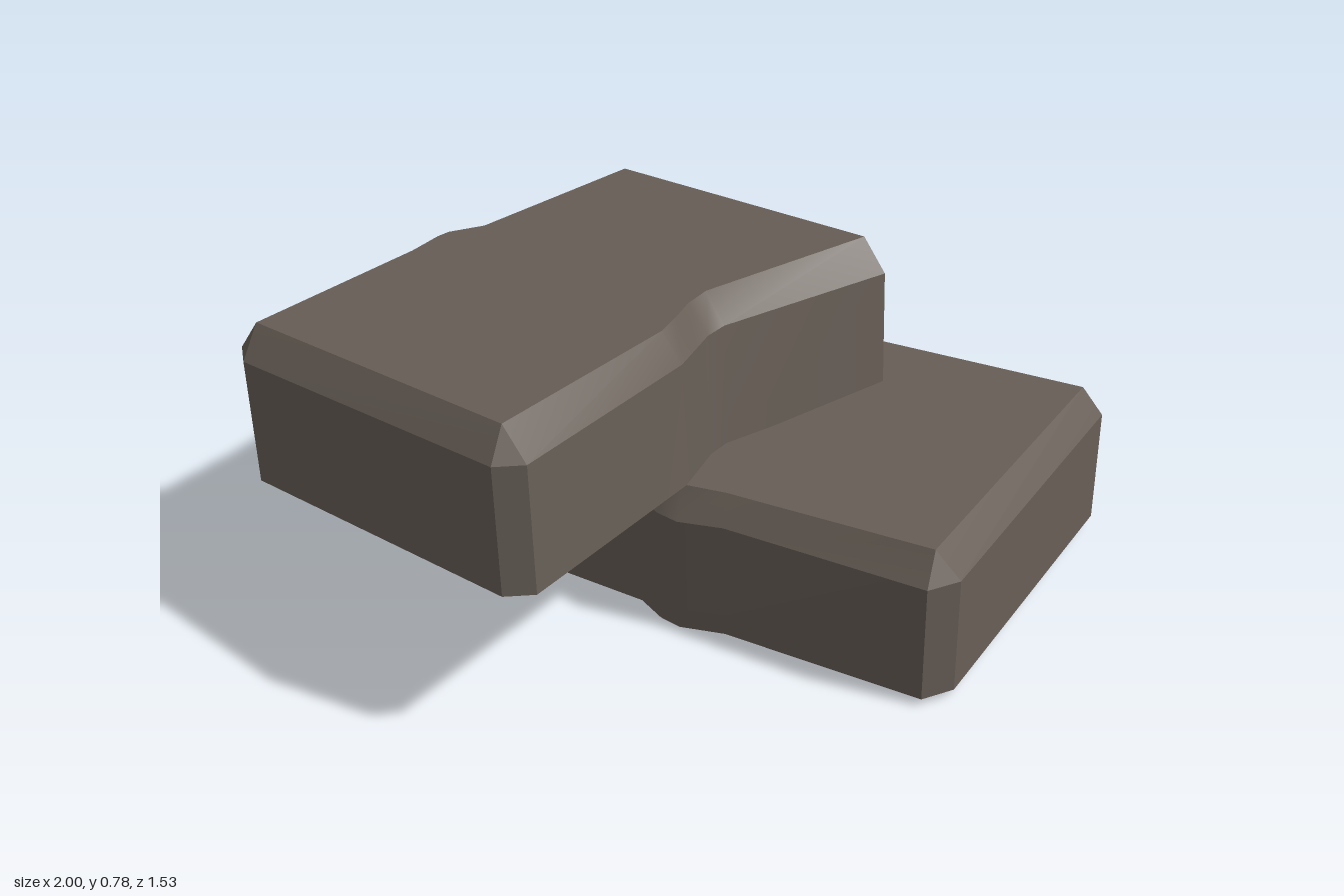
import * as THREE from 'three';
import { toCreasedNormals } from 'three/addons/utils/BufferGeometryUtils.js';

// Plan of a bent slab: [x, z] of the wall, then [x, z] of the bevelled top rim.
// Both points of a cut corner meet in one rim point.
const PLAN = [
  [0.465, -0.185, 0.43, -0.165], [0.47, -0.10, 0.43, -0.165],   // right corner
  [0.07, 0.15, 0.035, 0.11], [0.03, 0.20, -0.01, 0.175],        // notch
  [0.0, 0.265, -0.04, 0.245], [-0.035, 0.34, -0.075, 0.315],
  [-0.36, 0.755, -0.405, 0.71], [-0.43, 0.755, -0.405, 0.71],   // front corner
  [-0.985, 0.205, -0.955, 0.155], [-1.0, 0.125, -0.955, 0.155], // left corner
  [-0.675, -0.24, -0.64, -0.225], [-0.625, -0.335, -0.585, -0.31], // bulge
  [-0.58, -0.37, -0.56, -0.335], [-0.505, -0.40, -0.475, -0.365],
  [-0.155, -0.76, -0.12, -0.73], [-0.08, -0.755, -0.12, -0.73], // back corner
];
const SHOULDER = 0.295, HEIGHT = 0.365;

function slabGeometry() {
  const rings = [
    PLAN.map(([x, z]) => new THREE.Vector3(x, 0, z)),
    PLAN.map(([x, z]) => new THREE.Vector3(x, SHOULDER, z)),
    PLAN.map(([, , x, z]) => new THREE.Vector3(x, HEIGHT, z)),
  ];
  const pos = [];
  const tri = (a, b, c) => {
    const n = b.clone().sub(a).cross(c.clone().sub(a));
    if (n.length() > 1e-7) for (const p of [a, b, c]) pos.push(p.x, p.y, p.z);
    return n;
  };
  // walls and bevel
  for (let r = 0; r < 2; r++) {
    for (let i = 0; i < PLAN.length; i++) {
      const j = (i + 1) % PLAN.length;
      const lo = rings[r], hi = rings[r + 1];
      tri(lo[j], lo[i], hi[i]);
      tri(lo[j], hi[i], hi[j]);
    }
  }
  // underside and top
  const cap = (ring, up) => {
    const pts = ring.filter((p, i) => !p.equals(ring[(i + 1) % ring.length]));
    const flat = pts.map((p) => new THREE.Vector2(p.x, p.z));
    for (const [a, b, c] of THREE.ShapeUtils.triangulateShape(flat, [])) {
      const area = THREE.ShapeUtils.area([flat[a], flat[b], flat[c]]);
      if ((area < 0) === up) tri(pts[a], pts[b], pts[c]);
      else tri(pts[a], pts[c], pts[b]);
    }
  };
  cap(rings[0], false);
  cap(rings[2], true);

  const g = new THREE.BufferGeometry();
  g.setAttribute('position', new THREE.Float32BufferAttribute(pos, 3));
  return toCreasedNormals(g, 0.45);
}

export function createModel() {
  const group = new THREE.Group();
  group.name = 'stackedStones';
  const stone = new THREE.MeshStandardMaterial({ color: 0x675e56 });
  stone.name = 'brown stone';
  const geometry = slabGeometry();

  // the same slab twice: turned first, then tilted
  const place = (name, x, y, z, turn, slopeX, slopeZ) => {
    const mesh = new THREE.Mesh(geometry, stone);
    mesh.name = name;
    mesh.position.set(x, y, z);
    mesh.rotation.set(-slopeZ, turn, slopeX, 'ZXY');
    group.add(mesh);
  };
  place('lowerSlab', 0.19, 0.014, -0.31, 1.719, 0.02, -0.003);
  place('upperSlab', 0.003, 0.367, 0.012, 0, 0.025, 0.08);
  return group;
}
